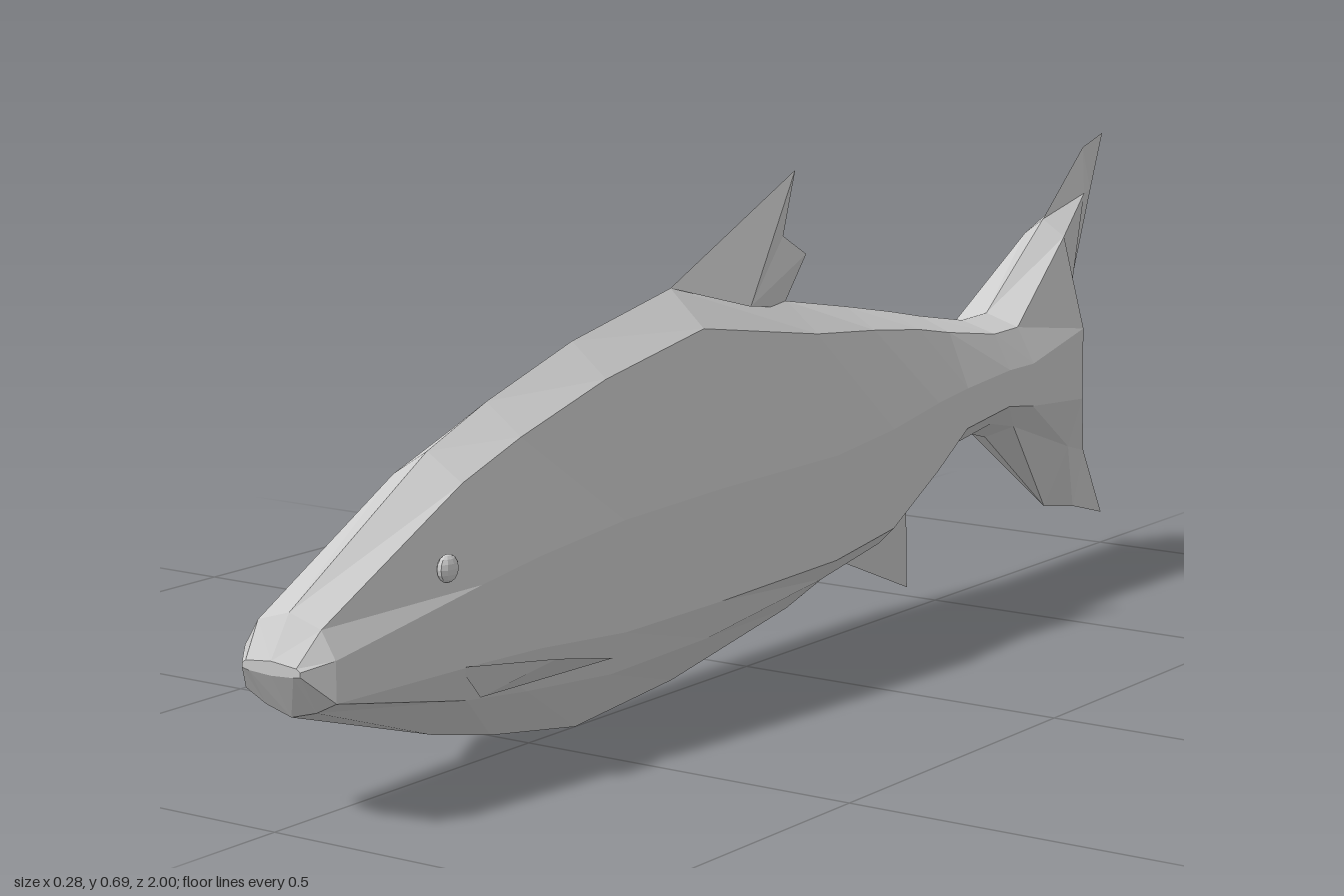
import * as THREE from 'three';

const grey = new THREE.MeshStandardMaterial({ color: 0xcccccc, flatShading: true });
const greyThin = new THREE.MeshStandardMaterial({ color: 0xcccccc, flatShading: true, side: THREE.DoubleSide });

// Flat-shaded mesh from a list of triangles, each of three [x, y, z] corners
function faceted(name, triangles, material) {
  const geometry = new THREE.BufferGeometry();
  geometry.setAttribute('position', new THREE.Float32BufferAttribute(triangles.flat(2), 3));
  geometry.computeVertexNormals();
  const mesh = new THREE.Mesh(geometry, material);
  mesh.name = name;
  return mesh;
}

const mirror = ([x, y, z]) => [-x, y, z];
// Triangles plus their copies across x = 0, wound the other way
const bothSides = (tris) => [...tris, ...tris.map(([a, b, c]) => [mirror(a), mirror(c), mirror(b)])];

// Half section, back ridge to belly keel: ridge, shoulder, upper flank, lower flank, chine, keel
function halfSection([z, ridge, xs, shoulder, xm, upper, lower, xc, chine, keel]) {
  return [[0, ridge, z], [xs, shoulder, z], [xm, upper, z], [xm, lower, z], [xc, chine, z], [0, keel, z]];
}

function createBody() {
  // z, ridge y, shoulder x y, flank x yUpper yLower, chine x y, keel y
  const sections = [
    [1.00, 0.212, 0.04, 0.208, 0.046, 0.204, 0.198, 0.035, 0.196, 0.194],
    [0.965, 0.265, 0.05, 0.25, 0.072, 0.215, 0.162, 0.04, 0.146, 0.135],
    [0.70, 0.42, 0.055, 0.385, 0.085, 0.26, 0.16, 0.058, 0.108, 0.055],
    [0.58, 0.465, 0.055, 0.425, 0.085, 0.275, 0.155, 0.06, 0.095, 0.028],
    [0.40, 0.518, 0.055, 0.473, 0.085, 0.29, 0.14, 0.06, 0.08, 0.0],
    [0.18, 0.56, 0.055, 0.51, 0.085, 0.295, 0.14, 0.06, 0.085, 0.018],
    [-0.10, 0.507, 0.052, 0.465, 0.085, 0.295, 0.145, 0.06, 0.115, 0.065],
    [-0.25, 0.48, 0.05, 0.45, 0.085, 0.31, 0.165, 0.06, 0.14, 0.107],
    [-0.37, 0.457, 0.05, 0.435, 0.085, 0.33, 0.23, 0.058, 0.205, 0.185],
    [-0.45, 0.44, 0.052, 0.42, 0.085, 0.34, 0.28, 0.055, 0.25, 0.235],
    [-0.57, 0.418, 0.057, 0.402, 0.085, 0.35, 0.295, 0.052, 0.265, 0.247],
    [-0.64, 0.42, 0.055, 0.403, 0.084, 0.35, 0.285, 0.05, 0.25, 0.228],
  ].map(halfSection);
  // Tail fan, sweeping back into a forked vertical edge
  sections.push(
    [[0, 0.545, -0.805], [0.035, 0.52, -0.81], [0.072, 0.38, -0.81], [0.072, 0.27, -0.81], [0.042, 0.19, -0.82], [0, 0.09, -0.82]],
    [[0, 0.645, -0.925], [0.012, 0.575, -0.91], [0.01, 0.375, -0.866], [0.01, 0.33, -0.868], [0.012, 0.165, -0.92], [0, 0.075, -0.91]],
    [[0, 0.662, -0.985], [0, 0.575, -0.95], [0, 0.365, -0.868], [0, 0.34, -0.868], [0, 0.165, -0.925], [0, 0.05, -1.0]],
  );
  const tris = [];
  for (let i = 0; i < sections.length - 1; i++) {
    for (let j = 0; j < 5; j++) {
      const a = sections[i][j], b = sections[i][j + 1];
      const c = sections[i + 1][j + 1], d = sections[i + 1][j];
      tris.push([a, b, c], [a, c, d]);
    }
  }
  // Snout cap
  const snout = sections[0];
  for (let j = 1; j < 5; j++) tris.push([snout[0], snout[j + 1], snout[j]]);
  return faceted('body', bothSides(tris), grey);
}

function createDorsalFin() {
  const front = [0, 0.56, 0.18], root = [0.035, 0.52, 0.04], rear = [0, 0.5, -0.09];
  const tip = [0, 0.69, -0.12], notch = [0, 0.60, -0.09], barb = [0, 0.568, -0.148];
  return faceted('dorsalFin', bothSides([
    [front, root, tip], [root, notch, tip], [root, barb, notch], [root, rear, barb],
  ]), greyThin);
}

function createAnalFin() {
  const front = [0, 0.107, -0.24], root = [0.035, 0.205, -0.36], rear = [0, 0.215, -0.405];
  const tip = [0, 0.035, -0.42];
  return faceted('analFin', bothSides([[front, tip, root], [root, tip, rear]]), greyThin);
}

function createPectoralFins() {
  const front = [0.08, 0.162, 0.74], under = [0.072, 0.112, 0.69], rear = [0.07, 0.122, 0.5];
  const tip = [0.14, 0.157, 0.62], trail = [0.113, 0.123, 0.465];
  return faceted('pectoralFins', bothSides([
    [front, tip, trail], [front, trail, rear],
    [under, trail, tip], [under, rear, trail], [front, under, tip],
  ]), greyThin);
}

export function createModel() {
  const fish = new THREE.Group();
  fish.name = 'fish';
  fish.add(createBody(), createDorsalFin(), createAnalFin(), createPectoralFins());

  // Eyes
  for (const side of [1, -1]) {
    const eye = new THREE.Mesh(new THREE.SphereGeometry(0.018, 10, 8), grey);
    eye.name = side > 0 ? 'leftEye' : 'rightEye';
    eye.scale.x = 0.6;
    eye.position.set(side * 0.075, 0.29, 0.755);
    fish.add(eye);
  }
  return fish;
}
